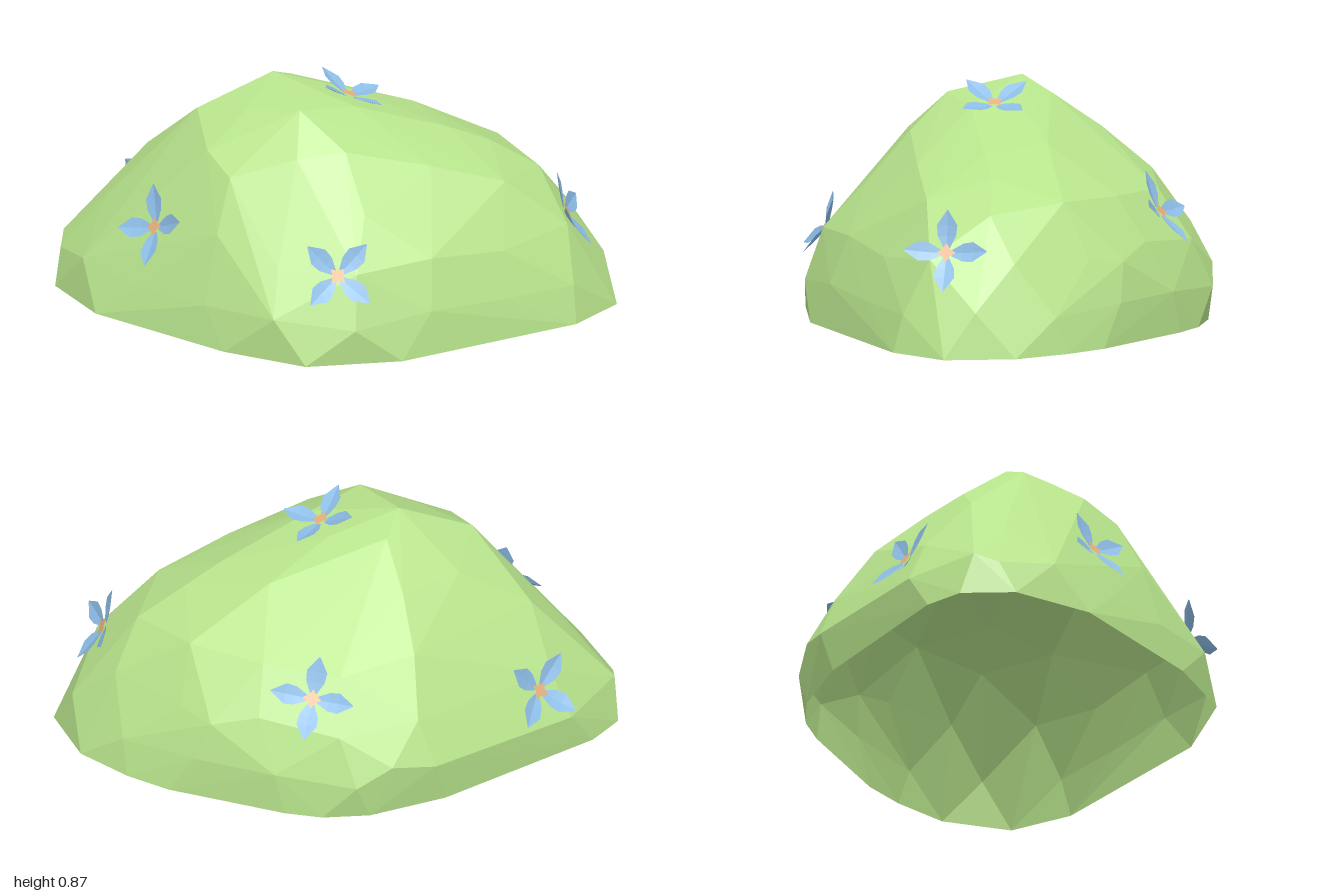
import * as THREE from 'three';
import { ConvexGeometry } from 'three/addons/geometries/ConvexGeometry.js';

const makeMaterial = (name, color) =>
  new THREE.MeshStandardMaterial({ name, color, flatShading: true, side: THREE.DoubleSide });
const leafGreen = makeMaterial('leafGreen', 0xb8e48c);
const petalBlue = makeMaterial('petalBlue', 0x8fbfe9);
const heartTan = makeMaterial('heartTan', 0xe6b07e);

// Outline of the bush from above, as x, z
const outline = [
  [-1, -0.26], [-0.94, -0.46], [-0.81, -0.55], [-0.57, -0.6], [-0.33, -0.68], [-0.17, -0.74],
  [0.13, -0.76], [0.3, -0.715], [0.42, -0.64], [0.52, -0.55], [0.77, -0.34], [0.88, -0.2],
  [0.99, 0], [1, 0.27], [0.82, 0.45], [0.38, 0.61], [0.13, 0.725], [-0.23, 0.725],
  [-0.5, 0.52], [-0.7, 0.27], [-0.9, 0.05],
];

// Levels: height, x min, x max, z back, z front, point count
const levels = [
  [0, -1, 1, -0.735, 0.725, 21],
  [0.15, -0.965, 0.955, -0.76, 0.715, 17],
  [0.33, -0.81, 0.86, -0.69, 0.65, 15],
  [0.51, -0.67, 0.73, -0.56, 0.5, 13],
  [0.67, -0.55, 0.4, -0.36, 0.35, 10],
  [0.79, -0.4, 0.1, -0.17, 0.2, 6],
];

// Peak, shoulders and ridge corners that stand out from the levels
const corners = [
  [-0.22, 0.86, -0.07], [-0.5, 0.73, -0.08], [-0.5, 0.65, 0.15], [-0.44, 0.59, 0.29],
  [-0.2, 0.67, 0.35], [0.3, 0.61, 0.34], [0.56, 0.6, 0.08], [-0.5, 0.4, 0.37],
  [-0.97, 0.13, -0.3], [0.05, 0.2, -0.755], [0.63, 0.3, -0.4],
];

// Faceted hollow mound: hull of shrinking contours with the bottom left open
function moundGeometry() {
  const points = corners.map((c) => new THREE.Vector3(...c));
  const curve = new THREE.CatmullRomCurve3(outline.map(([x, z]) => new THREE.Vector3(x, 0, z)), true);
  levels.forEach(([y, x0, x1, z0, z1, n], k) => {
    for (let i = 0; i < n; i++) {
      const p = k === 0
        ? new THREE.Vector3(outline[i][0], 0, outline[i][1])
        : curve.getPointAt(((i + 0.4 * (k % 2)) / n) % 1);
      points.push(new THREE.Vector3(
        THREE.MathUtils.mapLinear(p.x, -1, 1, x0, x1),
        k === 0 ? 0 : y + 0.018 * Math.sin(i * 2.4 + k),
        THREE.MathUtils.mapLinear(p.z, -0.76, 0.725, z0, z1)));
    }
  });
  const pos = new ConvexGeometry(points).getAttribute('position');
  const kept = [];
  for (let i = 0; i < pos.count; i += 3) {
    if (Math.max(pos.getY(i), pos.getY(i + 1), pos.getY(i + 2)) < 1e-4) continue;
    for (let j = i; j < i + 3; j++) kept.push(pos.getX(j), pos.getY(j), pos.getZ(j));
  }
  const geo = new THREE.BufferGeometry();
  geo.setAttribute('position', new THREE.Float32BufferAttribute(kept, 3));
  geo.computeVertexNormals();
  return geo;
}

// Pointed petal from rows of left, middle and right points, folded and curling outward
function petalGeometry() {
  const rows = [[0.02, 0.012, 0.004], [0.062, 0.034, 0.013], [0.1, 0.038, 0.023], [0.154, 0.002, 0.04]];
  const verts = [], index = [];
  rows.forEach(([y, w, z], r) => {
    const lift = z + w * 0.2;
    verts.push(-w, y, lift, 0, y, z, w, y, lift);
    if (r === 0) return;
    for (let c = 0; c < 2; c++) {
      const a = (r - 1) * 3 + c, b = a + 3;
      index.push(a, a + 1, b + 1, a, b + 1, b);
    }
  });
  const geo = new THREE.BufferGeometry();
  geo.setAttribute('position', new THREE.Float32BufferAttribute(verts, 3));
  geo.setIndex(index);
  geo.computeVertexNormals();
  return geo;
}

// Small cross-shaped star in the middle of a flower
function heartGeometry() {
  const star = [];
  for (let i = 0; i < 8; i++) {
    const r = i % 2 ? 0.02 : 0.036, a = i * Math.PI / 4;
    star.push(new THREE.Vector2(r * Math.cos(a), r * Math.sin(a)));
  }
  return new THREE.ShapeGeometry(new THREE.Shape(star)).translate(0, 0, 0.013);
}

// Flowers: position, facing direction, spin in degrees
const flowers = [
  [[-0.1, 0.33, 0.67], [-0.05, 0.48, 0.86], 45],
  [[0.82, 0.37, 0.26], [0.9, 0.42, 0.18], 0],
  [[0.045, 0.8, 0.045], [0.34, 0.94, 0.02], 42],
  [[-0.7, 0.36, 0.14], [-0.75, 0.45, 0.45], 20],
  [[-0.59, 0.27, -0.54], [-0.3, 0.45, -0.85], 42],
  [[0.29, 0.43, -0.55], [0.3, 0.6, -0.75], -10],
];

export function createModel() {
  const model = new THREE.Group();
  model.name = 'floweringBush';

  const mound = new THREE.Mesh(moundGeometry(), leafGreen);
  mound.name = 'bushMound';
  model.add(mound);

  const petalGeo = petalGeometry(), heartGeo = heartGeometry();
  const ray = new THREE.Raycaster();
  flowers.forEach(([p, n, spin]) => {
    const flower = new THREE.Group();
    flower.name = 'flower';
    const normal = new THREE.Vector3(...n).normalize();
    const place = new THREE.Vector3(...p);
    // Settle the flower on the mound
    ray.set(place.clone().addScaledVector(normal, 0.5), normal.clone().negate());
    const hit = ray.intersectObject(mound)[0];
    if (hit) place.copy(hit.point);
    flower.position.copy(place).addScaledVector(normal, 0.003);
    flower.lookAt(flower.position.clone().add(normal));
    flower.rotateZ(THREE.MathUtils.degToRad(spin));

    for (let i = 0; i < 4; i++) {
      const petal = new THREE.Mesh(petalGeo, petalBlue);
      petal.name = 'petal';
      petal.rotation.z = i * Math.PI / 2;
      flower.add(petal);
    }
    const heart = new THREE.Mesh(heartGeo, heartTan);
    heart.name = 'flowerHeart';
    flower.add(heart);
    model.add(flower);
  });
  return model;
}
